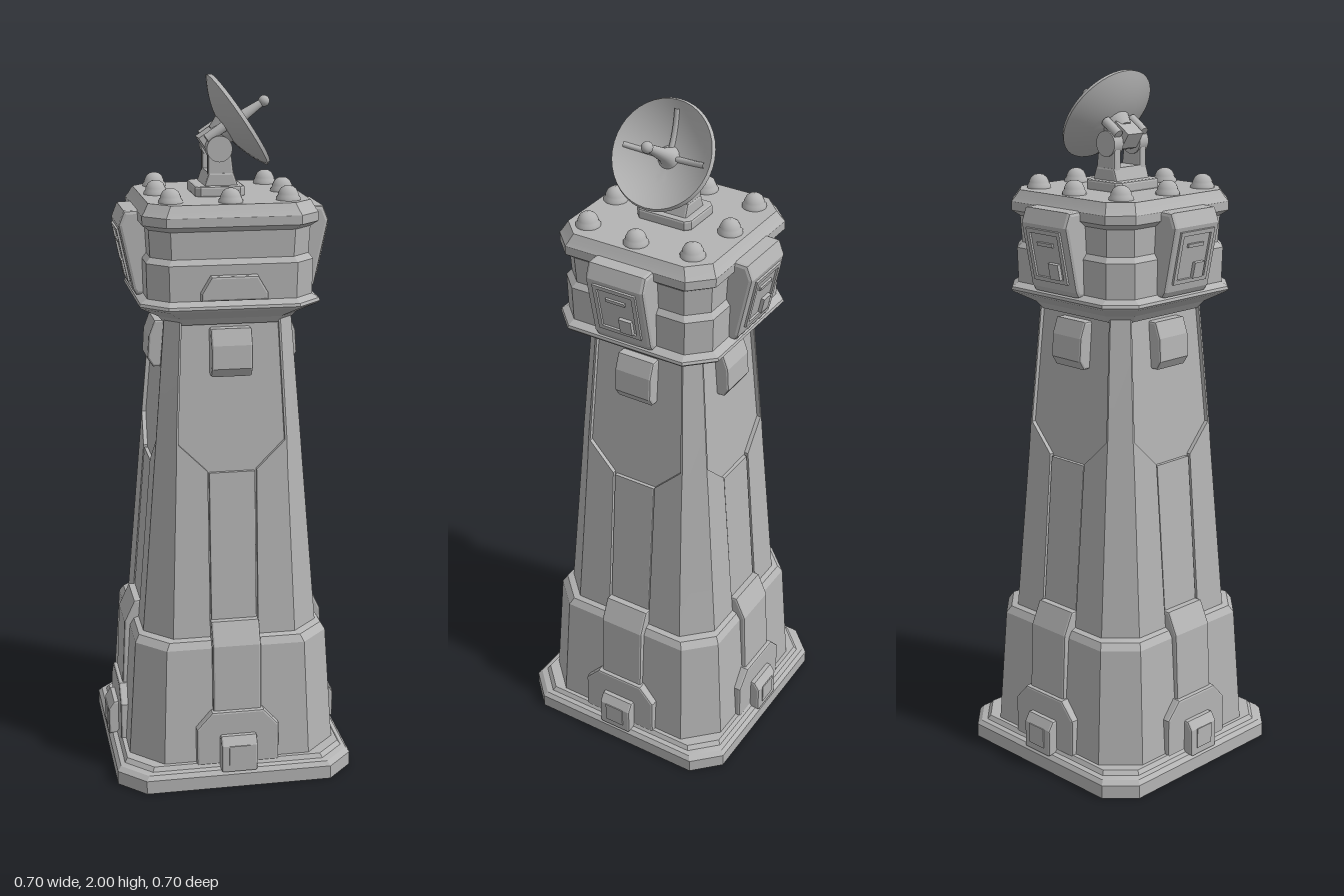
import * as THREE from 'three';
import { toCreasedNormals } from 'three/addons/utils/BufferGeometryUtils.js';

const stone = new THREE.MeshStandardMaterial({ color: 0xb4b4b4 });
stone.name = 'plain grey';
const dishGrey = stone.clone();
dishGrey.name = 'dish grey';
dishGrey.side = THREE.DoubleSide;

function add(parent, name, geometry, material = stone) {
  const mesh = new THREE.Mesh(geometry, material);
  mesh.name = name;
  parent.add(mesh);
  return mesh;
}

// Chamfered square section; w > 0 cuts a notch of depth d into each side
function section({ y, h, c, w = 0, d = 0 }) {
  const side = w
    ? [[c - h, h], [-w, h], [-w, h - d], [w, h - d], [w, h], [h - c, h]]
    : [[c - h, h], [h - c, h]];
  const ring = [];
  for (let k = 0; k < 4; k++) {
    for (const [px, pz] of side) {
      let [x, z] = [px, pz];
      for (let i = 0; i < k; i++) [x, z] = [z, -x];
      ring.push([x, y, z]);
    }
  }
  return ring;
}

// Joins sections from bottom to top and caps both ends
function loft(levels) {
  const rings = levels.map(section), n = rings[0].length, pos = [];
  const tri = (...p) => p.forEach(v => pos.push(...v));
  for (let r = 0; r < rings.length - 1; r++) {
    for (let i = 0; i < n; i++) {
      const j = (i + 1) % n, lo = rings[r], hi = rings[r + 1];
      tri(lo[i], lo[j], hi[j]);
      tri(lo[i], hi[j], hi[i]);
    }
  }
  const first = rings[0], last = rings[rings.length - 1];
  for (let i = 0; i < n; i++) {
    const j = (i + 1) % n;
    tri([0, first[0][1], 0], first[j], first[i]);
    tri([0, last[0][1], 0], last[i], last[j]);
  }
  const g = new THREE.BufferGeometry();
  g.setAttribute('position', new THREE.Float32BufferAttribute(pos, 3));
  g.computeVertexNormals();
  return toCreasedNormals(g, 0.3);
}

// Extruded outline with a small bevel, from z = 0 to z = depth
function extrude(points, depth, bevel = 0.006) {
  const shape = new THREE.Shape(points.map(p => new THREE.Vector2(...p)));
  return new THREE.ExtrudeGeometry(shape, {
    depth: depth - 2 * bevel, bevelEnabled: true, bevelThickness: bevel,
    bevelSize: bevel, bevelOffset: -bevel, bevelSegments: 2, curveSegments: 8,
  }).translate(0, 0, bevel);
}

// Outline given as (outward, y), stretched across a side to +-half
const profile = (points, half, bevel) =>
  extrude(points, 2 * half, bevel).translate(0, 0, -half).rotateY(-Math.PI / 2);

const box = (w, h, d, x, y, z) => new THREE.BoxGeometry(w, h, d).translate(x, y, z);

function addSide(parent, k) {
  const side = new THREE.Group();
  side.name = ['frontDetails', 'leftDetails', 'backDetails', 'rightDetails'][k];
  side.rotation.y = k * Math.PI / 2;
  parent.add(side);

  // Pilaster, channel strip and footing
  add(side, 'channelStrip', profile([[0.18, 0.44], [0.251, 0.44], [0.213, 0.915], [0.18, 0.915]], 0.066, 0.003));
  add(side, 'pilaster', profile([[0.2, 0.06], [0.312, 0.06], [0.296, 0.42], [0.266, 0.485], [0.2, 0.485]], 0.07));
  add(side, 'footing', extrude([[-0.12, 0.06], [0.12, 0.06], [0.12, 0.175], [0.075, 0.225],
    [-0.075, 0.225], [-0.12, 0.175]], 0.1).translate(0, 0, 0.217));
  add(side, 'footBlock', profile([[0.28, 0.05], [0.346, 0.05], [0.346, 0.13], [0.33, 0.155], [0.28, 0.155]], 0.053));
  add(side, 'footBlockPlate', box(0.06, 0.06, 0.006, 0, 0.1, 0.346));

  // Bracket under the head
  add(side, 'bracket', profile([[0.15, 1.19], [0.2, 1.19], [0.216, 1.215], [0.212, 1.28], [0.195, 1.325], [0.15, 1.325]], 0.058));

  if (k === 0) {
    add(side, 'frontSill', extrude([[-0.092, 1.415], [0.092, 1.415], [0.092, 1.435], [0.064, 1.482],
      [-0.064, 1.482], [-0.092, 1.435]], 0.08).translate(0, 0, 0.175));
    return;
  }
  // Slanted hatch on the head
  add(side, 'hatch', profile([[0.17, 1.405], [0.248, 1.405], [0.258, 1.42], [0.296, 1.6], [0.28, 1.64], [0.17, 1.645]], 0.09, 0.01));
  const face = new THREE.Group();
  face.name = 'hatchFace';
  face.position.set(0, 1.51, 0.277);
  face.rotation.x = Math.atan2(0.038, 0.18);
  side.add(face);
  const frame = new THREE.Shape([[-0.066, -0.07], [0.066, -0.07], [0.066, 0.08], [-0.066, 0.08]].map(p => new THREE.Vector2(...p)));
  frame.holes.push(new THREE.Path([[-0.054, -0.058], [-0.054, 0.068], [0.054, 0.068], [0.054, -0.058]].map(p => new THREE.Vector2(...p))));
  add(face, 'hatchFrame', new THREE.ExtrudeGeometry(frame, { depth: 0.006, bevelEnabled: false }));
  add(face, 'hatchSlot', box(0.06, 0.01, 0.008, 0, 0.038, 0.002));
  add(face, 'hatchLatch', box(0.038, 0.045, 0.014, 0.024, -0.036, 0.003));
}

function addDish(parent) {
  // Pedestal and fork
  const mount = new THREE.Group();
  mount.name = 'dishMount';
  parent.add(mount);
  add(mount, 'mountPlate', extrude([[-0.08, -0.07], [-0.065, -0.085], [0.045, -0.085], [0.06, -0.07],
    [0.06, 0.07], [0.045, 0.085], [-0.065, 0.085], [-0.08, 0.07]], 0.03).rotateX(-Math.PI / 2).translate(0, 1.67, 0));
  add(mount, 'pedestal', extrude([[-0.055, 1.69], [0.045, 1.69], [0.03, 1.735], [-0.04, 1.735]], 0.13).translate(0, 0, -0.065));
  for (const s of [-1, 1]) {
    add(mount, 'forkArm', extrude([[-0.042, 1.72], [0.032, 1.72], [0.022, 1.8], [-0.042, 1.8]], 0.026).translate(0, 0, s * 0.05 - 0.013));
    add(mount, 'forkPivot', new THREE.CylinderGeometry(0.036, 0.036, 0.034, 20).rotateX(Math.PI / 2).translate(-0.01, 1.8, s * 0.05));
  }
  add(mount, 'pivotAxle', new THREE.CylinderGeometry(0.022, 0.022, 0.11, 16).rotateX(Math.PI / 2).translate(-0.01, 1.8, 0));

  // Dish, with its axis along local y
  const dish = new THREE.Group();
  dish.name = 'dish';
  dish.position.set(0.018, 1.85, 0);
  dish.rotation.z = -Math.atan2(0.83, 0.556);
  parent.add(dish);
  const R = 0.15, depth = 0.046, bowl = r => depth * (r / R) ** 2;
  const points = [];
  for (let i = 0; i <= 10; i++) points.push(new THREE.Vector2(R * i / 10, bowl(R * i / 10) - 0.008));
  for (let i = 10; i >= 0; i--) points.push(new THREE.Vector2((R - 0.005) * i / 10, bowl(R * i / 10) + 0.003));
  add(dish, 'bowl', toCreasedNormals(new THREE.LatheGeometry(points, 40), 0.7), dishGrey);
  add(dish, 'feedHorn', new THREE.LatheGeometry([[0.036, 0], [0.025, 0.012], [0.018, 0.04], [0.01, 0.125]]
    .map(p => new THREE.Vector2(...p)), 20), dishGrey);
  add(dish, 'feedTip', new THREE.SphereGeometry(0.016, 16, 12).translate(0, 0.13, 0));
  for (const a of [-Math.PI / 2, Math.PI / 2, Math.PI]) {
    const path = [0.015, 0.05, 0.085, 0.125].map(r => new THREE.Vector3(r * Math.cos(a), bowl(r) + 0.003, r * Math.sin(a)));
    add(dish, 'bowlRib', new THREE.TubeGeometry(new THREE.CatmullRomCurve3(path), 12, 0.008, 8));
  }
  add(dish, 'backHub', new THREE.CylinderGeometry(0.045, 0.03, 0.035, 20).translate(0, -0.018, 0));
  add(dish, 'backHousing', box(0.05, 0.06, 0.06, 0, -0.05, 0));
  for (const s of [-1, 1])
    add(dish, 'backActuator', new THREE.CylinderGeometry(0.014, 0.014, 0.06, 12).translate(-0.015, -0.035, s * 0.05));
}

export function createModel() {
  const model = new THREE.Group();
  model.name = 'watchtower';

  add(model, 'basePlinth', loft([
    { y: 0, h: 0.345, c: 0.075 }, { y: 0.04, h: 0.345, c: 0.075 }, { y: 0.052, h: 0.335, c: 0.073 },
    { y: 0.056, h: 0.322, c: 0.072 }, { y: 0.068, h: 0.314, c: 0.07 }]));
  add(model, 'lowerBlock', loft([
    { y: 0.06, h: 0.303, c: 0.09 }, { y: 0.41, h: 0.28, c: 0.08 }, { y: 0.43, h: 0.268, c: 0.078 }, { y: 0.437, h: 0.25, c: 0.075 }]));

  // Tapered shaft with a channel in each side that widens near the top
  const shaft = (y, w, c) => ({ y, w, c, d: 0.012, h: 0.255 - (y - 0.42) * 0.0815 });
  add(model, 'shaft', loft([shaft(0.4, 0.07, 0.078), shaft(0.92, 0.07, 0.055), shaft(1.0, 0.152, 0.05), shaft(1.36, 0.135, 0.038)]));

  add(model, 'head', loft([
    [1.335, 0.18, 0.05], [1.355, 0.195, 0.055], [1.385, 0.246, 0.068], [1.392, 0.252, 0.07], [1.4, 0.25, 0.07],
    [1.412, 0.23, 0.055], [1.51, 0.232, 0.055], [1.525, 0.22, 0.052], [1.6, 0.224, 0.053], [1.615, 0.243, 0.058],
    [1.64, 0.243, 0.058], [1.65, 0.236, 0.056], [1.672, 0.224, 0.054]].map(([y, h, c]) => ({ y, h, c }))));

  for (let k = 0; k < 4; k++) addSide(model, k);

  // Domed bolts around the roof edge
  const bolt = [[0.034, 0], [0.034, 0.008], [0.029, 0.014], [0.028, 0.02], [0.022, 0.032], [0.012, 0.039], [0, 0.041]]
    .map(p => new THREE.Vector2(...p));
  for (let i = -1; i <= 1; i++) {
    for (let j = -1; j <= 1; j++) {
      if (!i && !j) continue;
      const reach = i && j ? 0.162 : 0.18;
      add(model, 'roofBolt', new THREE.LatheGeometry(bolt, 16)).position.set(i * reach, 1.67, j * reach + 0.003);
    }
  }

  addDish(model);
  return model;
}
